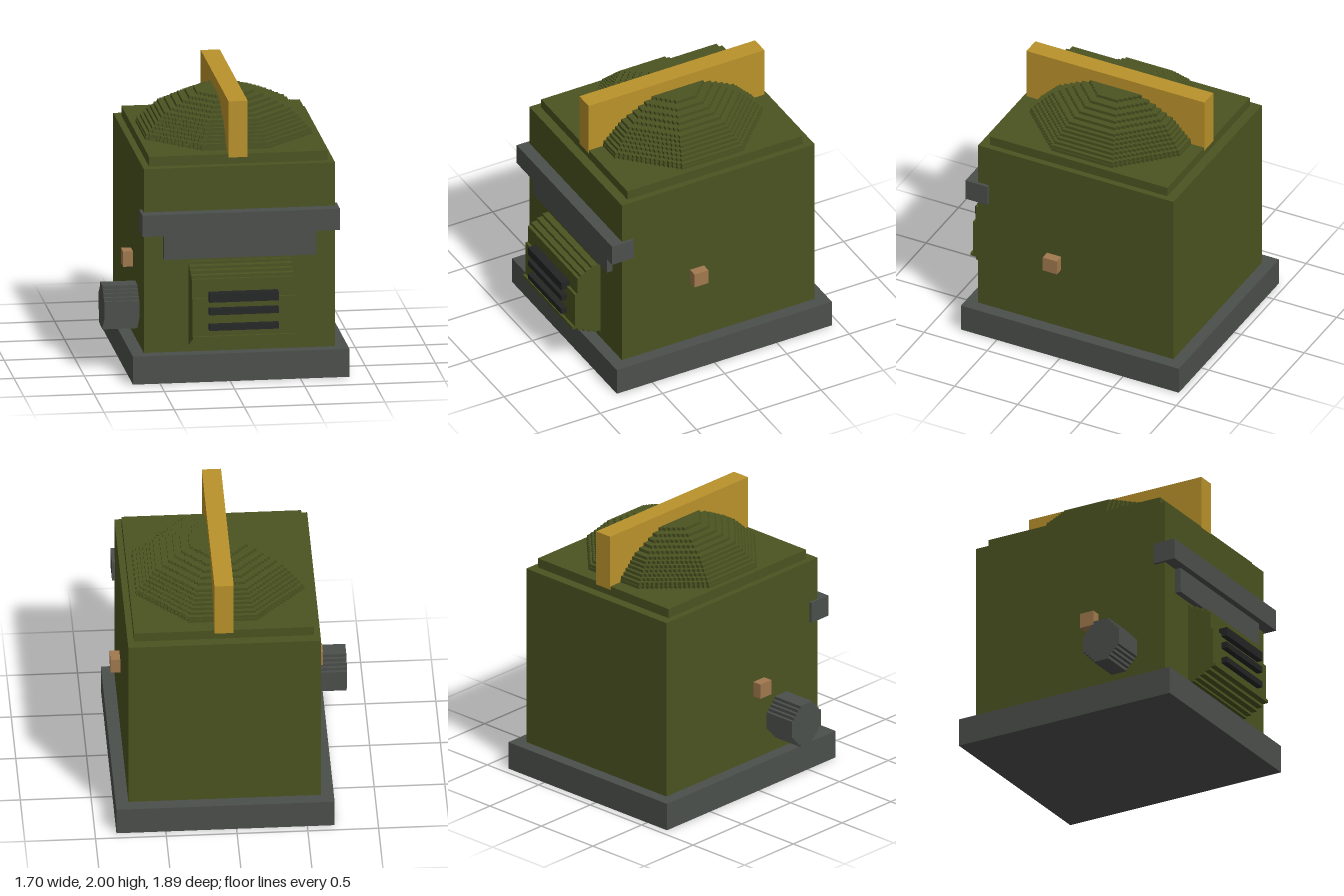
import * as THREE from 'three';

const mat = (name, color) => {
  const m = new THREE.MeshStandardMaterial({ color });
  m.name = name;
  return m;
};

// Octagon outline whose diagonal sides are cut into small square stairs
function steppedOctagon(ru, rv, step) {
  const k = Math.SQRT2 - 1;
  const n = Math.max(1, Math.round(ru * (1 - k) / step));
  const du = ru * (1 - k) / n, dv = rv * (1 - k) / n;
  const quarter = [[ru, rv * k]];
  for (let i = 1; i <= n; i++) {
    quarter.push([ru - i * du, rv * k + (i - 1) * dv]);
    quarter.push([ru - i * du, rv * k + i * dv]);
  }
  const flip = (su, sv) => quarter.map(([u, v]) => new THREE.Vector2(u * su, v * sv));
  return new THREE.Shape([
    ...flip(1, 1), ...flip(-1, 1).reverse(), ...flip(-1, -1), ...flip(1, -1).reverse(),
  ]);
}

const extrude = (shape, depth) => new THREE.ExtrudeGeometry(shape, { depth, bevelEnabled: false });

export function createModel() {
  const model = new THREE.Group();
  model.name = 'stove';

  const olive = mat('olive', 0x4b5320);
  const grey = mat('darkGrey', 0x4b4f4b);
  const gold = mat('gold', 0xba922b);
  const copper = mat('copper', 0xa0784e);
  const black = mat('black', 0x232424);

  const add = (name, geometry, material, parent = model) => {
    const mesh = new THREE.Mesh(geometry, material);
    mesh.name = name;
    parent.add(mesh);
    return mesh;
  };
  // Box given by its lower and upper bounds on each axis
  const box = (name, material, [x0, x1], [y0, y1], [z0, z1], parent) =>
    add(name, new THREE.BoxGeometry(x1 - x0, y1 - y0, z1 - z0), material, parent)
      .position.set((x0 + x1) / 2, (y0 + y1) / 2, (z0 + z1) / 2);

  // Main casing
  box('base', grey, [-0.693, 0.849], [0, 0.204], [-0.943, 0.785]);
  box('body', olive, [-0.603, 0.759], [0.204, 1.545], [-0.854, 0.695]);
  box('lid', olive, [-0.556, 0.714], [1.545, 1.615], [-0.782, 0.626]);

  // Domed top built from stacked stepped octagons
  const dome = new THREE.Group();
  dome.name = 'dome';
  dome.position.set(0.077, 1.615, -0.083);
  model.add(dome);
  const radii = [0.595, 0.59, 0.566, 0.543, 0.52, 0.498, 0.475, 0.45, 0.405, 0.36, 0.315, 0.265, 0.206];
  const layer = 0.0227;
  radii.forEach((r, i) => {
    const g = extrude(steppedOctagon(r, r, layer), layer);
    g.rotateX(-Math.PI / 2);
    add('domeLayer', g, olive, dome).position.y = i * layer;
  });

  // Tall carrying handle across the lid
  box('handle', gold, [0.01, 0.146], [1.59, 2], [-0.784, 0.628]);

  // Front ledge and the panel below it
  box('frontLedge', grey, [-0.624, 0.781], [1.075, 1.23], [0.61, 0.785]);
  box('ledgePanel', grey, [-0.466, 0.619], [0.89, 1.075], [0.66, 0.74]);

  // Bulging vent hood: stepped side profile as [z, bottom y] runs
  const runs = [
    [0.7, 0.255], [0.745, 0.265], [0.785, 0.28], [0.83, 0.3], [0.875, 0.322],
    [0.92, 0.345], [0.9, 0.367], [0.88, 0.64], [0.855, 0.775], [0.81, 0.798],
    [0.765, 0.82], [0.715, 0.842],
  ];
  const top = 0.865, back = 0.65;
  const profile = [new THREE.Vector2(back, runs[0][1])];
  runs.forEach(([z, y], i) => {
    profile.push(new THREE.Vector2(z, y));
    profile.push(new THREE.Vector2(z, i + 1 < runs.length ? runs[i + 1][1] : top));
  });
  profile.push(new THREE.Vector2(back, top));
  const hood = extrude(new THREE.Shape(profile), 0.728);
  hood.rotateY(-Math.PI / 2);
  add('ventHood', hood, olive).position.x = 0.442;

  // Dark slats on the vent hood
  for (const [y0, y1] of [[0.62, 0.685], [0.528, 0.573], [0.414, 0.457]]) {
    box('ventSlat', black, [-0.17, 0.323], [y0, y1], [0.87, 0.944]);
  }

  // Small pegs on both sides
  box('rightPeg', copper, [-0.673, -0.59], [0.69, 0.8], [0.036, 0.148]);
  box('leftPeg', copper, [0.745, 0.827], [0.69, 0.8], [0.036, 0.148]);

  // Octagonal outlet pipe on the right side
  const pipe = extrude(steppedOctagon(0.148, 0.158, 0.0225), 0.262);
  pipe.rotateY(-Math.PI / 2);
  add('outletPipe', pipe, grey).position.set(-0.59, 0.459, 0.317);

  return model;
}
